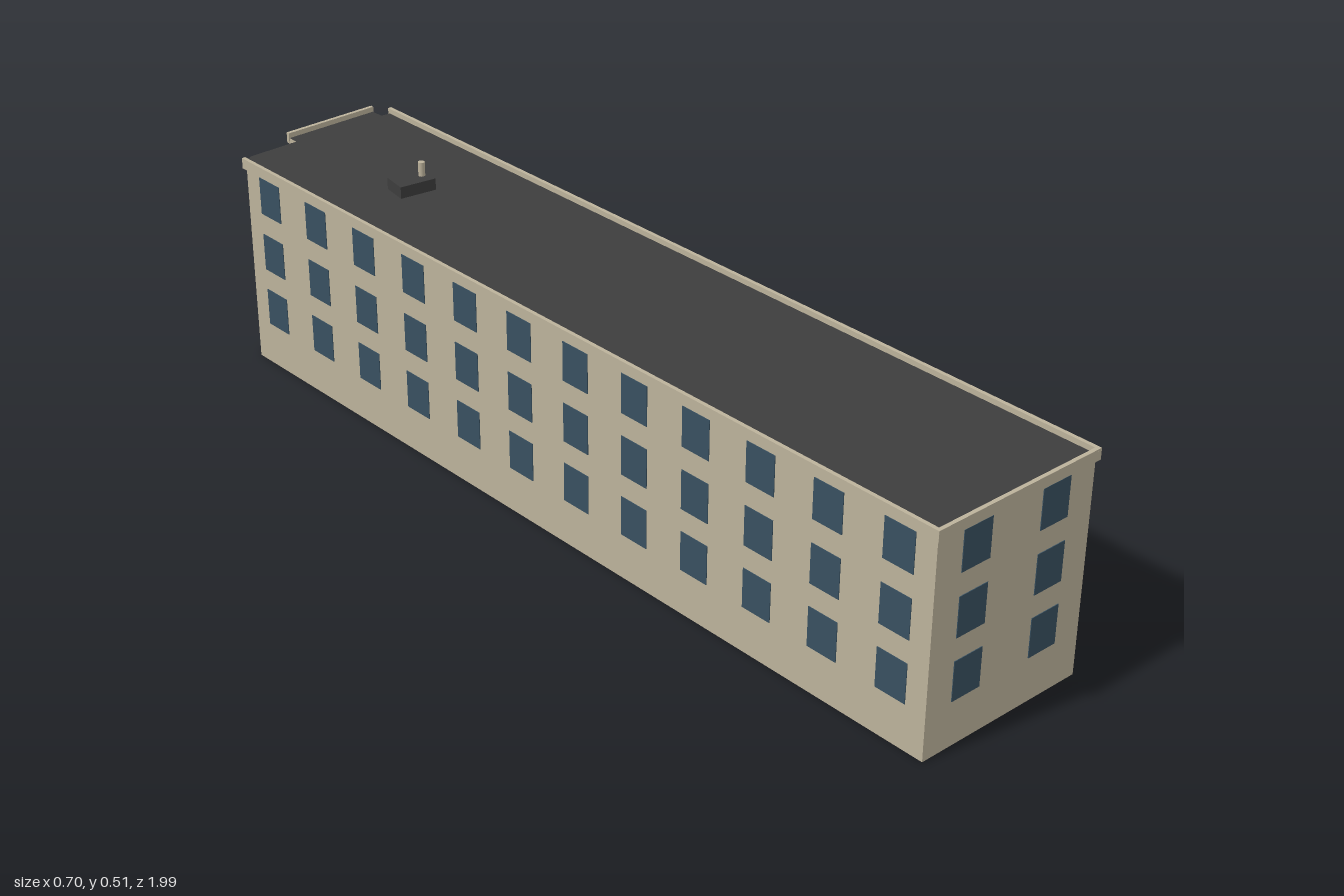
import * as THREE from 'three';

const mat = (name, color) => {
  const m = new THREE.MeshStandardMaterial({ color });
  m.name = name;
  return m;
};

export function createModel() {
  const stone = mat('stone', 0xbcb29b);
  const trim = mat('trim', 0x9c927d);
  const glass = mat('glass', 0x385060);
  const roofing = mat('roofing', 0x3d3d3d);
  const model = new THREE.Group();
  model.name = 'building';

  // Footprint corners as [x, z], starting at the front
  const corners = [
    [-0.038, 0.989], [0.341, 0.937],
    [0.031, -0.958], [0.008, -0.958], [0.002, -0.991],
    [-0.211, -0.962], [-0.208, -0.934],
    [-0.322, -0.917], [-0.343, -0.892],
  ];
  const roofY = 0.452;

  // Main body: stone sides, dark roof and underside
  const shape = new THREE.Shape(corners.map(([x, z]) => new THREE.Vector2(x, -z)));
  const bodyGeo = new THREE.ExtrudeGeometry(shape, { depth: roofY, bevelEnabled: false });
  bodyGeo.rotateX(-Math.PI / 2);
  const body = new THREE.Mesh(bodyGeo, [roofing, stone]);
  body.name = 'walls';
  model.add(body);

  // Group whose x runs along a wall, y up, z outward
  const wallFrame = (i, name) => {
    const [ax, az] = corners[i];
    const [bx, bz] = corners[(i + 1) % corners.length];
    const g = new THREE.Group();
    g.name = name;
    g.position.set(ax, 0, az);
    g.rotation.y = Math.atan2(az - bz, bx - ax);
    model.add(g);
    return { g, length: Math.hypot(bx - ax, bz - az) };
  };

  // Box given by its extents
  const block = (parent, name, material, x0, x1, y0, y1, z0, z1) => {
    const m = new THREE.Mesh(new THREE.BoxGeometry(x1 - x0, y1 - y0, z1 - z0), material);
    m.position.set((x0 + x1) / 2, (y0 + y1) / 2, (z0 + z1) / 2);
    m.name = name;
    parent.add(m);
  };

  // Three storeys of plain windows and a cornice on each main facade
  const facade = (i, name, columns) => {
    const { g, length } = wallFrame(i, name);
    for (const y of [0.095, 0.224, 0.353]) {
      for (let c = 0; c < columns; c++) {
        const x = (length * (c + 0.5)) / columns;
        block(g, 'window', glass, x - 0.034, x + 0.034, y, y + 0.082, -0.001, 0.0015);
      }
    }
    block(g, 'cornice', stone, -0.006, length + 0.006, 0.44, 0.463, -0.002, 0.006);
  };
  facade(0, 'frontFacade', 2);
  facade(1, 'rightFacade', 12);
  facade(8, 'leftFacade', 12);

  // Projecting back bay
  const { g: back, length } = wallFrame(4, 'backBay');
  block(back, 'cornice', stone, -0.002, length + 0.002, 0.44, 0.463, -0.004, 0.004);
  block(back, 'ledge', trim, 0, length, 0.178, 0.187, 0, 0.006);

  // Framed window with a grid of panes
  const framedWindow = (name, x0, x1, y0, y1, columns, rows, depth) => {
    const g = new THREE.Group();
    g.name = name;
    back.add(g);
    const b = 0.008;
    const bar = 0.004;
    block(g, 'glass', glass, x0, x1, y0, y1, 0, depth * 0.4);
    block(g, 'sill', trim, x0 - 0.004, x1 + 0.004, y0, y0 + b, 0, depth + 0.002);
    block(g, 'lintel', trim, x0, x1, y1 - b, y1, 0, depth);
    block(g, 'jamb', trim, x0, x0 + b, y0, y1, 0, depth);
    block(g, 'jamb', trim, x1 - b, x1, y0, y1, 0, depth);
    for (let c = 1; c < columns; c++) {
      const x = x0 + ((x1 - x0) * c) / columns;
      block(g, 'mullion', stone, x - bar / 2, x + bar / 2, y0, y1, 0, depth * 0.8);
    }
    for (let r = 1; r < rows; r++) {
      const y = y0 + ((y1 - y0) * r) / rows;
      block(g, 'transom', stone, x0, x1, y - bar / 2, y + bar / 2, 0, depth * 0.8);
    }
  };
  framedWindow('upperWindow', 0.062, 0.142, 0.333, 0.43, 2, 2, 0.006);
  framedWindow('middleWindow', 0.062, 0.142, 0.205, 0.3, 2, 2, 0.006);
  framedWindow('groundWindow', 0.032, 0.182, 0.055, 0.162, 3, 1, 0.007);
  // Pale upper panes of the wide ground-floor window
  for (let c = 0; c < 3; c++) {
    const x = 0.044 + c * 0.0455;
    block(back, 'upperPane', stone, x, x + 0.036, 0.113, 0.15, 0, 0.004);
  }
  block(back, 'step', stone, 0.15, 0.207, 0.026, 0.034, 0, 0.02);

  // Roof vent with its pipe
  block(model, 'ventBase', roofing, -0.157, -0.077, roofY, 0.477, -0.622, -0.566);
  const pipe = new THREE.Mesh(new THREE.CylinderGeometry(0.007, 0.007, 0.03, 12), stone);
  pipe.name = 'ventPipe';
  pipe.position.set(-0.093, 0.492, -0.594);
  model.add(pipe);

  return model;
}
